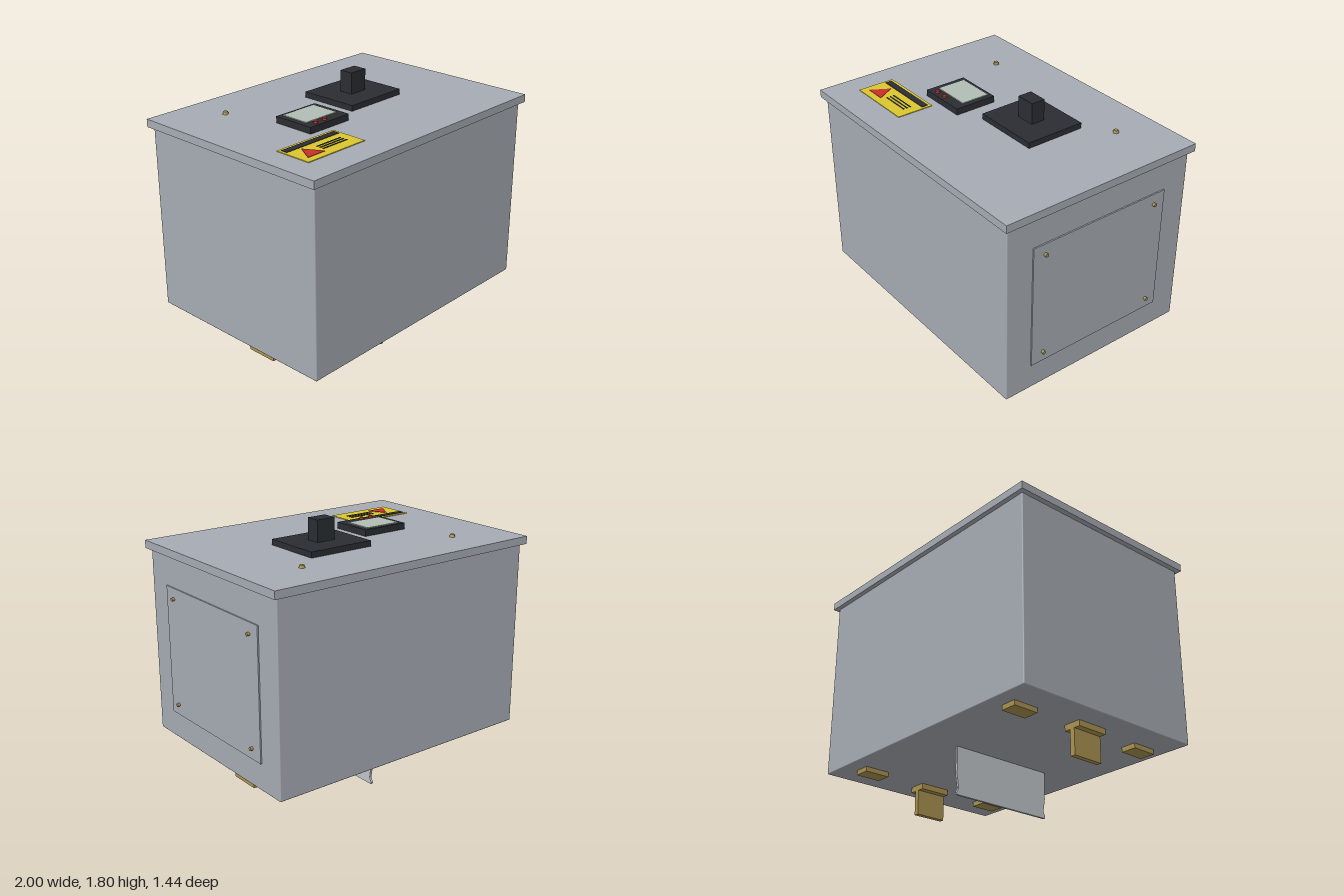
import * as THREE from 'three';
import { RoundedBoxGeometry } from 'three/addons/geometries/RoundedBoxGeometry.js';

const mat = (color, opts = {}) => new THREE.MeshStandardMaterial({ color, ...opts });
const steel = mat(0xa6abb3);
const fin = mat(0xc0c6ca);
const brass = mat(0xa89250);
const black = mat(0x2a2d32);
const glass = mat(0xb0bdb4);
const yellow = mat(0xdac52f);
const red = mat(0xc8302a);

export function createModel() {
  const model = new THREE.Group();
  model.name = 'controlCabinet';

  const add = (name, geometry, material, parent = model) => {
    const mesh = new THREE.Mesh(geometry, material);
    mesh.name = name;
    parent.add(mesh);
    return mesh;
  };
  // Box given by its limits on each axis
  const box = (name, [x0, x1], [y0, y1], [z0, z1], material, parent) => {
    const mesh = add(name, new THREE.BoxGeometry(x1 - x0, y1 - y0, z1 - z0), material, parent);
    mesh.position.set((x0 + x1) / 2, (y0 + y1) / 2, (z0 + z1) / 2);
    return mesh;
  };
  const group = (name) => {
    const g = new THREE.Group();
    g.name = name;
    model.add(g);
    return g;
  };

  // Cabinet body with softened edges, and its overhanging lid
  const body = add('body', new RoundedBoxGeometry(1.94, 1.25, 1.39, 2, 0.007), steel);
  body.position.y = 0.94;
  box('lid', [-1, 1], [1.565, 1.617], [-0.722, 0.722], steel);

  // Hex-head screws: two on the lid, four on the side panel
  const screwGeometry = new THREE.CylinderGeometry(0.015, 0.02, 0.018, 6);
  for (const x of [-0.605, 0.605]) {
    add('lidScrew', screwGeometry, brass).position.set(x, 1.626, -0.435);
  }
  const access = group('accessPanel');
  box('panelPlate', [0.965, 0.979], [0.495, 1.36], [-0.51, 0.51], steel, access);
  for (const y of [0.567, 1.288]) {
    for (const z of [-0.425, 0.425]) {
      const screw = add('panelScrew', new THREE.CylinderGeometry(0.012, 0.012, 0.02, 8), brass, access);
      screw.rotation.z = -Math.PI / 2;
      screw.position.set(0.987, y, z);
    }
  }

  // Switch: square base plate with a block handle
  const control = group('switch');
  box('switchBase', [-0.03, 0.435], [1.617, 1.655], [-0.3, 0.113], black, control);
  box('switchHandle', [0.135, 0.268], [1.655, 1.798], [-0.14, -0.043], black, control);

  // Meter with a display and two indicator lamps
  const meter = group('meter');
  box('meterCase', [-0.503, -0.167], [1.617, 1.66], [-0.083, 0.21], black, meter);
  box('meterDisplay', [-0.468, -0.202], [1.655, 1.666], [-0.06, 0.14], glass, meter);
  for (const x of [-0.425, -0.347]) {
    add('indicatorLamp', new THREE.CylinderGeometry(0.014, 0.014, 0.014, 16), red, meter)
      .position.set(x, 1.667, 0.178);
  }

  // Warning plate: bar, triangle and three stripes
  const plate = group('warningPlate');
  box('plateBase', [-0.835, -0.365], [1.617, 1.622], [0.265, 0.52], yellow, plate);
  box('plateBar', [-0.818, -0.383], [1.622, 1.625], [0.285, 0.33], black, plate);
  for (const z of [0.387, 0.412, 0.437]) {
    box('plateStripe', [-0.63, -0.43], [1.622, 1.625], [z - 0.004, z + 0.004], black, plate);
  }
  const triangle = new THREE.Shape([
    new THREE.Vector2(-0.79, -0.472),
    new THREE.Vector2(-0.65, -0.472),
    new THREE.Vector2(-0.72, -0.35),
  ]);
  const sign = add('plateTriangle',
    new THREE.ExtrudeGeometry(triangle, { depth: 0.003, bevelEnabled: false }), red, plate);
  sign.rotation.x = -Math.PI / 2;
  sign.position.y = 1.622;

  // Underside: a T-shaped bracket and two pads at each end
  for (const s of [-1, 1]) {
    const span = (a, b) => (s > 0 ? [a, b] : [-b, -a]);
    const bracket = group(s > 0 ? 'leftBracket' : 'rightBracket');
    box('bracketFlange', span(0.69, 0.812), [0.277, 0.316], [-0.11, 0.11], brass, bracket);
    box('bracketBlade', span(0.733, 0.768), [0.107, 0.28], [-0.11, 0.11], brass, bracket);
    for (const z of [-0.5, 0.5]) {
      box('footPad', span(0.667, 0.775), [0.283, 0.316], [z - 0.088, z + 0.088], brass);
    }
  }

  // Central blade, pinched just above its flared lower edge
  const side = [[0.372, 0.32], [0.372, 0.13], [0.358, 0.045], [0.374, 0.012], [0.37, 0]];
  const outline = [...side, ...side.map(([z, y]) => [-z, y]).reverse()];
  const bladeShape = new THREE.Shape(outline.map(([z, y]) => new THREE.Vector2(z, y)));
  const blade = add('centralBlade',
    new THREE.ExtrudeGeometry(bladeShape, { depth: 0.016, bevelEnabled: false }), fin);
  blade.rotation.y = -Math.PI / 2;
  blade.position.x = 0.008;

  return model;
}
